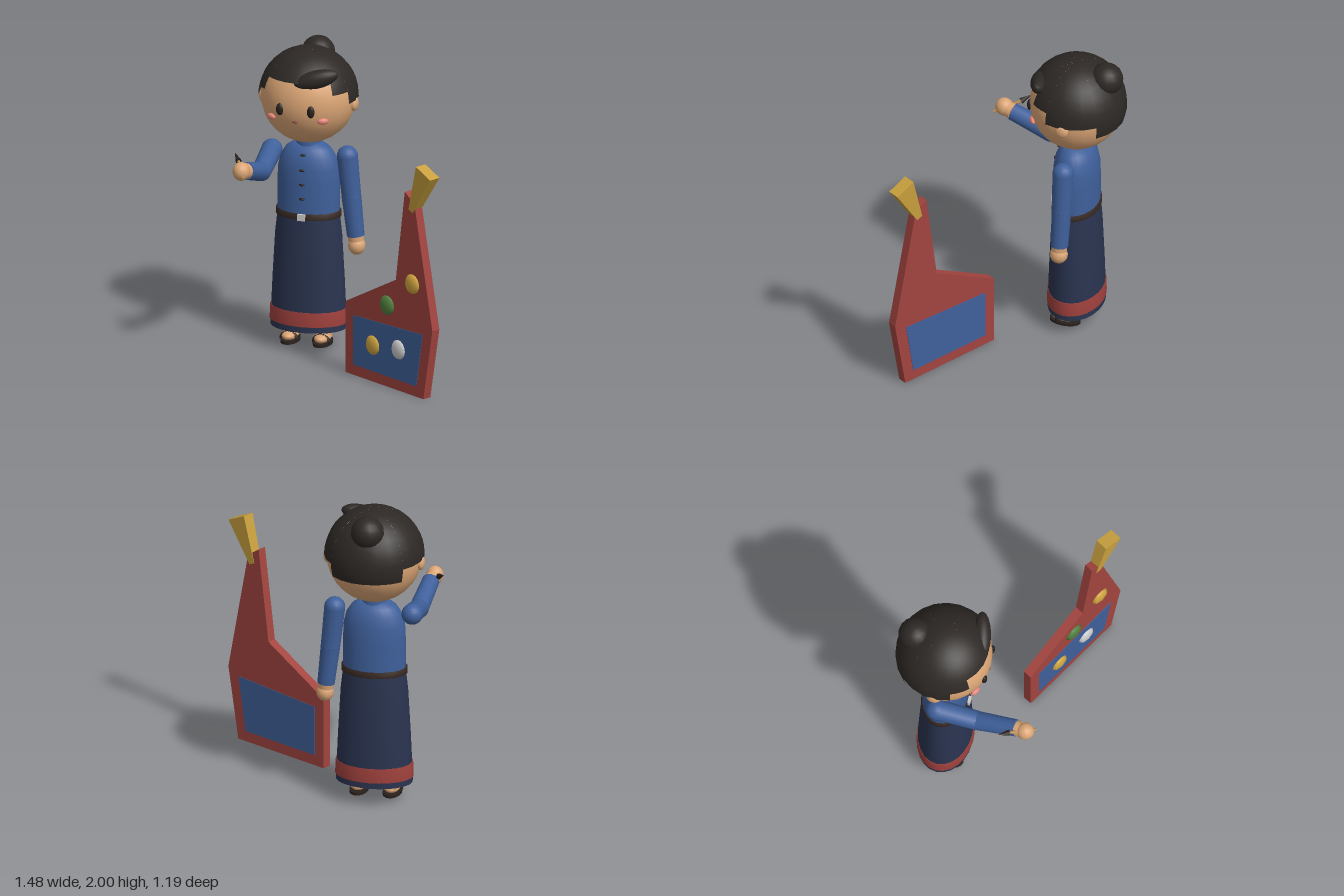
import * as THREE from 'three';

const V = (x, y, z) => new THREE.Vector3(x, y, z);
const mat = (color, flatShading = false) =>
  new THREE.MeshStandardMaterial({ color, flatShading, side: THREE.DoubleSide });

const M = {
  skin: mat(0xdca676), hair: mat(0x2d2825), blue: mat(0x3f609b), navy: mat(0x2a3450),
  red: mat(0xa0413d), belt: mat(0x3a2b25), dark: mat(0x2a211d), silver: mat(0xc4c4c4),
  cheek: mat(0xe5857a), mouth: mat(0x8a4a42), gold: mat(0xc9a03e, true), goldDisc: mat(0xcfa440),
  green: mat(0x52803f), wood: mat(0xb98d52), board: mat(0xa3443f, true), panel: mat(0x3f609b, true),
};

function add(parent, name, geometry, material, x = 0, y = 0, z = 0) {
  const mesh = new THREE.Mesh(geometry, material);
  mesh.name = name;
  mesh.position.set(x, y, z);
  parent.add(mesh);
  return mesh;
}

// Ellipsoid with three radii
function blob(parent, name, material, p, r, w = 16, h = 12) {
  const mesh = add(parent, name, new THREE.SphereGeometry(1, w, h), material, ...p);
  mesh.scale.set(...r);
  return mesh;
}

// Tapered rod between two points
function rod(parent, name, material, a, b, ra, rb, sides = 12) {
  const mesh = add(parent, name, new THREE.CylinderGeometry(rb, ra, a.distanceTo(b), sides), material);
  mesh.position.copy(a).lerp(b, 0.5);
  mesh.quaternion.setFromUnitVectors(V(0, 1, 0), b.clone().sub(a).normalize());
  return mesh;
}

// Turned part flattened front to back
function turned(parent, name, material, points) {
  const mesh = add(parent, name, new THREE.LatheGeometry(points.map(p => new THREE.Vector2(...p)), 24), material);
  mesh.scale.z = 0.71;
  return mesh;
}

// Flat plate cut from an outline, centred on z = 0
function plate(parent, name, material, outline, depth) {
  const shape = new THREE.Shape(outline.map(p => new THREE.Vector2(...p)));
  const geometry = new THREE.ExtrudeGeometry(shape, { depth, bevelEnabled: false });
  return add(parent, name, geometry.translate(0, 0, -depth / 2), material);
}

function buildHead(figure) {
  const head = new THREE.Group();
  head.name = 'head';
  head.position.set(0, 1.67, 0);
  figure.add(head);
  blob(head, 'face', M.skin, [0, 0, 0], [0.305, 0.305, 0.298], 24, 16);

  // Hair cap: sectors (degrees from the front) that reach down to stepped heights
  const R = 0.32;
  const sectors = [[-47, 47, 0.16], [47, 71, 0.08], [71, 133, 0], [133, 227, -0.09], [227, 289, 0], [289, 313, 0.08]];
  for (const [from, to, y] of sectors) {
    const start = THREE.MathUtils.degToRad(90 + from), len = THREE.MathUtils.degToRad(to - from);
    add(head, 'hairCap', new THREE.SphereGeometry(R, Math.ceil((to - from) / 16), 10, start, len, 0, Math.acos(y / R)), M.hair);
  }
  blob(head, 'hairBun', M.hair, [0, 0.225, -0.2], [0.107, 0.105, 0.107]);
  const fringe = blob(head, 'fringe', M.hair, [0.115, 0.178, 0.212], [0.148, 0.06, 0.055]);
  fringe.rotation.set(0, 0.25, 0.27);

  for (const s of [-1, 1]) {
    blob(head, 'ear', M.skin, [s * 0.302, -0.03, -0.005], [0.027, 0.048, 0.045]);
    blob(head, 'eye', M.dark, [s * 0.103, -0.02, 0.279], [0.025, 0.04, 0.018]);
    blob(head, 'cheek', M.cheek, [s * 0.172, -0.087, 0.238], [0.036, 0.021, 0.018]).rotation.y = s * 0.55;
  }
  blob(head, 'mouth', M.mouth, [0, -0.095, 0.28], [0.021, 0.008, 0.012]);
}

function buildBody(figure) {
  turned(figure, 'tunic', M.blue, [[0.203, 0.9], [0.203, 1.1], [0.198, 1.2], [0.18, 1.27], [0.145, 1.325], [0.095, 1.36], [0, 1.362]]);
  add(figure, 'collar', new THREE.CylinderGeometry(0.078, 0.083, 0.07, 16), M.blue, 0, 1.36, 0);
  turned(figure, 'skirt', M.navy, [[0.2, 0.91], [0.218, 0.75], [0.235, 0.45], [0.243, 0.27], [0.248, 0.13]]);
  turned(figure, 'skirtBand', M.red, [[0.243, 0.265], [0.25, 0.265], [0.254, 0.17], [0.247, 0.17]]);
  turned(figure, 'belt', M.belt, [[0.2, 0.915], [0.212, 0.915], [0.214, 0.875], [0.2, 0.875]]);
  add(figure, 'buckle', new THREE.BoxGeometry(0.05, 0.042, 0.018), M.silver, 0, 0.895, 0.155);
  for (const [y, z] of [[1.3, 0.119], [1.205, 0.142], [1.11, 0.145], [1.015, 0.146]])
    blob(figure, 'button', M.dark, [0, y, z], [0.019, 0.008, 0.011], 10, 8);

  // Legs, feet and sandals
  for (const s of [-1, 1]) {
    const x = s * 0.108;
    add(figure, 'leg', new THREE.CylinderGeometry(0.06, 0.052, 0.26, 12), M.skin, x, 0.2, 0.01);
    blob(figure, 'foot', M.skin, [x, 0.072, 0.043], [0.052, 0.033, 0.09]);
    const sole = add(figure, 'sandalSole', new THREE.CylinderGeometry(0.06, 0.06, 0.018, 16), M.dark, x, 0.038, 0.04);
    sole.scale.z = 1.72;
    const strap = add(figure, 'sandalStrap', new THREE.TorusGeometry(0.052, 0.008, 6, 12, Math.PI), M.dark, x, 0.047, 0.075);
    strap.scale.set(1.05, 0.95, 2);
  }
}

function buildArm(figure, name, shoulder, elbow, wrist, hand) {
  const arm = new THREE.Group();
  arm.name = name;
  figure.add(arm);
  blob(arm, 'shoulder', M.blue, shoulder.toArray(), [0.068, 0.068, 0.068]);
  rod(arm, 'upperSleeve', M.blue, shoulder, elbow, 0.068, 0.063);
  blob(arm, 'elbow', M.blue, elbow.toArray(), [0.063, 0.063, 0.063]);
  rod(arm, 'lowerSleeve', M.blue, elbow, wrist, 0.063, 0.056);
  rod(arm, 'wrist', M.skin, wrist, wrist.clone().lerp(hand, 0.5), 0.052, 0.05);
  blob(arm, 'hand', M.skin, hand.toArray(), [0.055, 0.06, 0.058]);
  return arm;
}

function buildBoard(model) {
  const board = new THREE.Group();
  board.name = 'standingBoard';
  board.position.set(0.01, 0, 0.152);
  board.rotation.y = -Math.PI / 6;
  model.add(board);
  plate(board, 'boardBody', M.board,
    [[0, 0], [0.735, 0], [0.82, 0.475], [0.65, 1.285], [0.56, 1.345], [0.475, 0.735], [0, 0.475]], 0.06);
  plate(board, 'bluePanel', M.panel, [[0.075, 0.07], [0.67, 0.07], [0.73, 0.43], [0.075, 0.4]], 0.066);

  // Raised discs on the front face
  for (const [x, y, m] of [[0.63, 0.745, M.goldDisc], [0.393, 0.545, M.green], [0.26, 0.245, M.goldDisc], [0.502, 0.275, M.silver]])
    blob(board, 'disc', m, [x, y, 0.03], [0.065, 0.065, 0.028], 8, 8);

  // Flared finial: a box narrowed towards its foot
  const geometry = new THREE.BoxGeometry(0.145, 0.31, 0.082);
  const p = geometry.attributes.position;
  for (let i = 0; i < p.count; i++)
    if (p.getY(i) < 0) p.setXYZ(i, p.getX(i) * 0.3, p.getY(i), p.getZ(i) * 0.79);
  geometry.computeVertexNormals();
  add(board, 'finial', geometry, M.gold, 0.68, 1.372, 0).rotation.z = -0.42;
}

export function createModel() {
  const model = new THREE.Group();
  model.name = 'figureWithBoard';
  const figure = new THREE.Group();
  figure.name = 'figure';
  figure.position.set(-0.397, 0, -0.28);
  model.add(figure);

  buildHead(figure);
  buildBody(figure);
  buildArm(figure, 'leftArm', V(0.258, 1.285, 0), V(0.285, 1.02, 0), V(0.315, 0.76, 0.003), V(0.322, 0.695, 0.005));
  const arm = buildArm(figure, 'rightArm', V(-0.245, 1.28, 0), V(-0.232, 1.215, 0.26), V(-0.25, 1.3, 0.525), V(-0.262, 1.315, 0.585));

  // Writing tool held in the raised hand
  const end = V(-0.228, 1.285, 0.645), neck = V(-0.31, 1.348, 0.49), tip = V(-0.352, 1.382, 0.432);
  rod(arm, 'toolHandle', M.wood, end, neck, 0.01, 0.01, 8);
  rod(arm, 'toolTip', M.dark, neck, tip, 0.02, 0.001, 8);

  buildBoard(model);
  return model;
}
